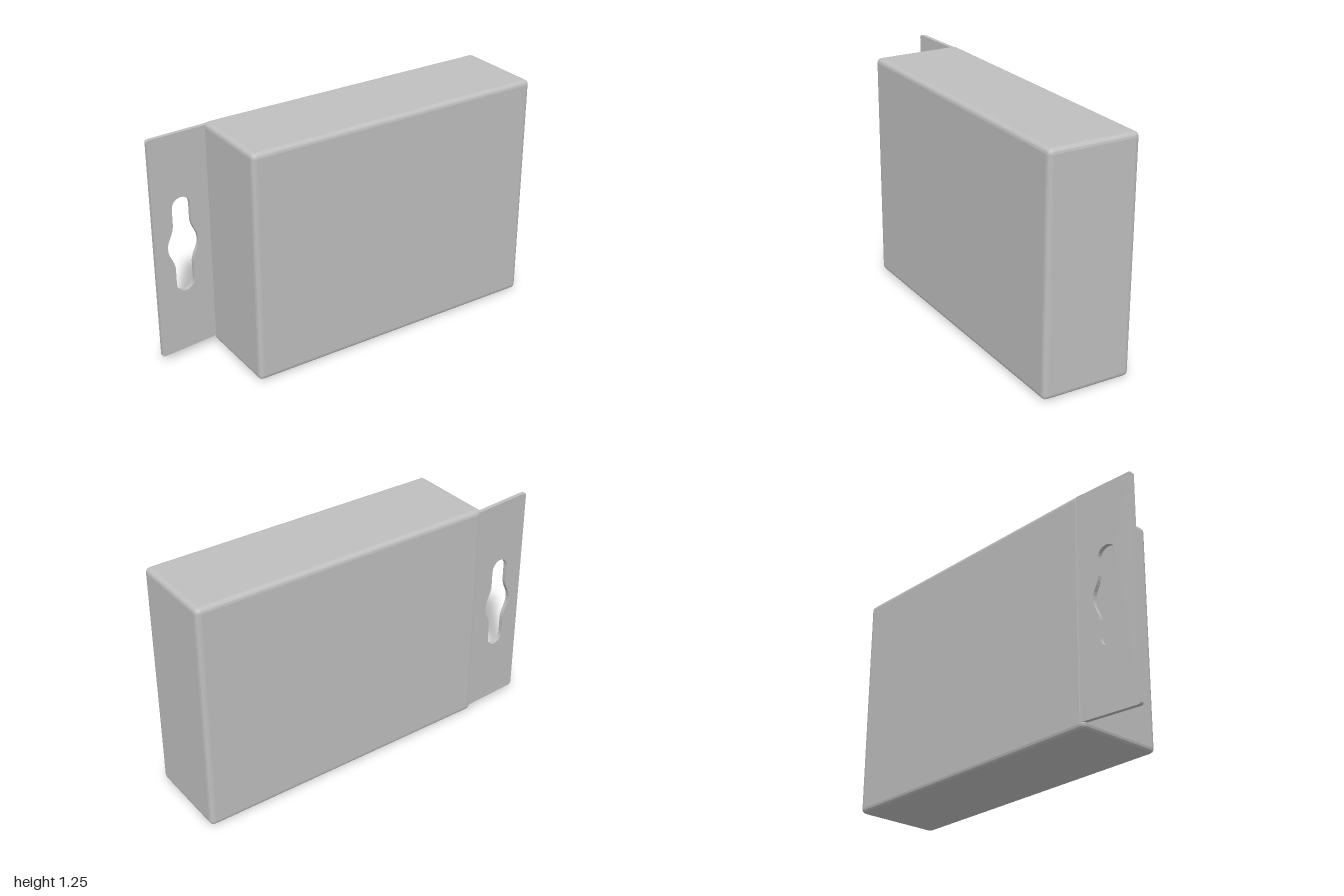
import * as THREE from 'three';
import { RoundedBoxGeometry } from 'three/addons/geometries/RoundedBoxGeometry.js';

// Moves every vertex of a geometry by a rule
function warp(geometry, rule) {
  const p = geometry.attributes.position;
  const v = new THREE.Vector3();
  for (let i = 0; i < p.count; i++) {
    rule(v.fromBufferAttribute(p, i));
    p.setXYZ(i, v.x, v.y, v.z);
  }
  geometry.computeVertexNormals();
  return geometry;
}

export function createModel() {
  const group = new THREE.Group();
  group.name = 'hangingBox';
  const grey = new THREE.MeshStandardMaterial({ color: 0xbfbfbf, flatShading: true });
  grey.name = 'plain grey';

  // Carton body: softened box, slightly skewed
  const bodyGeometry = warp(new RoundedBoxGeometry(1.67, 1.243, 0.486, 2, 0.025), (v) => {
    v.z -= 0.005 + v.x * 0.011;
    v.y += 0.63 - v.x * 0.003 * (v.y < 0 ? 1 : -1);
    v.x += 0.157;
  });
  const body = new THREE.Mesh(bodyGeometry, grey);
  body.name = 'cartonBody';
  group.add(body);

  // Hanging tab outline
  const tab = new THREE.Shape();
  tab.moveTo(-0.985, 0.035);
  tab.lineTo(-0.66, 0.042);
  tab.lineTo(-0.66, 1.237);
  tab.lineTo(-0.985, 1.24);
  tab.quadraticCurveTo(-1, 1.24, -1, 1.225);
  tab.lineTo(-1, 0.05);
  tab.quadraticCurveTo(-1, 0.035, -0.985, 0.035);

  // Slot with a bulge in the middle
  const slot = new THREE.Path();
  const cx = -0.838, cy = 0.637, w = 0.052;
  slot.moveTo(cx - w, cy + 0.115);
  slot.lineTo(cx - w, cy + 0.21);
  slot.absarc(cx, cy + 0.21, w, Math.PI, 0, true);
  slot.lineTo(cx + w, cy + 0.115);
  slot.bezierCurveTo(cx + 0.06, cy + 0.06, cx + 0.088, cy + 0.05, cx + 0.088, cy);
  slot.bezierCurveTo(cx + 0.088, cy - 0.05, cx + 0.06, cy - 0.06, cx + w, cy - 0.115);
  slot.lineTo(cx + w, cy - 0.21);
  slot.absarc(cx, cy - 0.21, w, 0, -Math.PI, true);
  slot.lineTo(cx - w, cy - 0.115);
  slot.bezierCurveTo(cx - 0.06, cy - 0.06, cx - 0.088, cy - 0.05, cx - 0.088, cy);
  slot.bezierCurveTo(cx - 0.088, cy + 0.05, cx - 0.06, cy + 0.06, cx - w, cy + 0.115);
  tab.holes.push(slot);

  // Tab leans forward toward its free edge
  const tabGeometry = warp(
    new THREE.ExtrudeGeometry(tab, { depth: 0.022, bevelEnabled: false, curveSegments: 6 }),
    (v) => { v.z += -0.236 + (-0.68 - v.x) * 0.085; }
  );
  const hangTab = new THREE.Mesh(tabGeometry, grey);
  hangTab.name = 'hangingTab';
  group.add(hangTab);

  return group;
}
